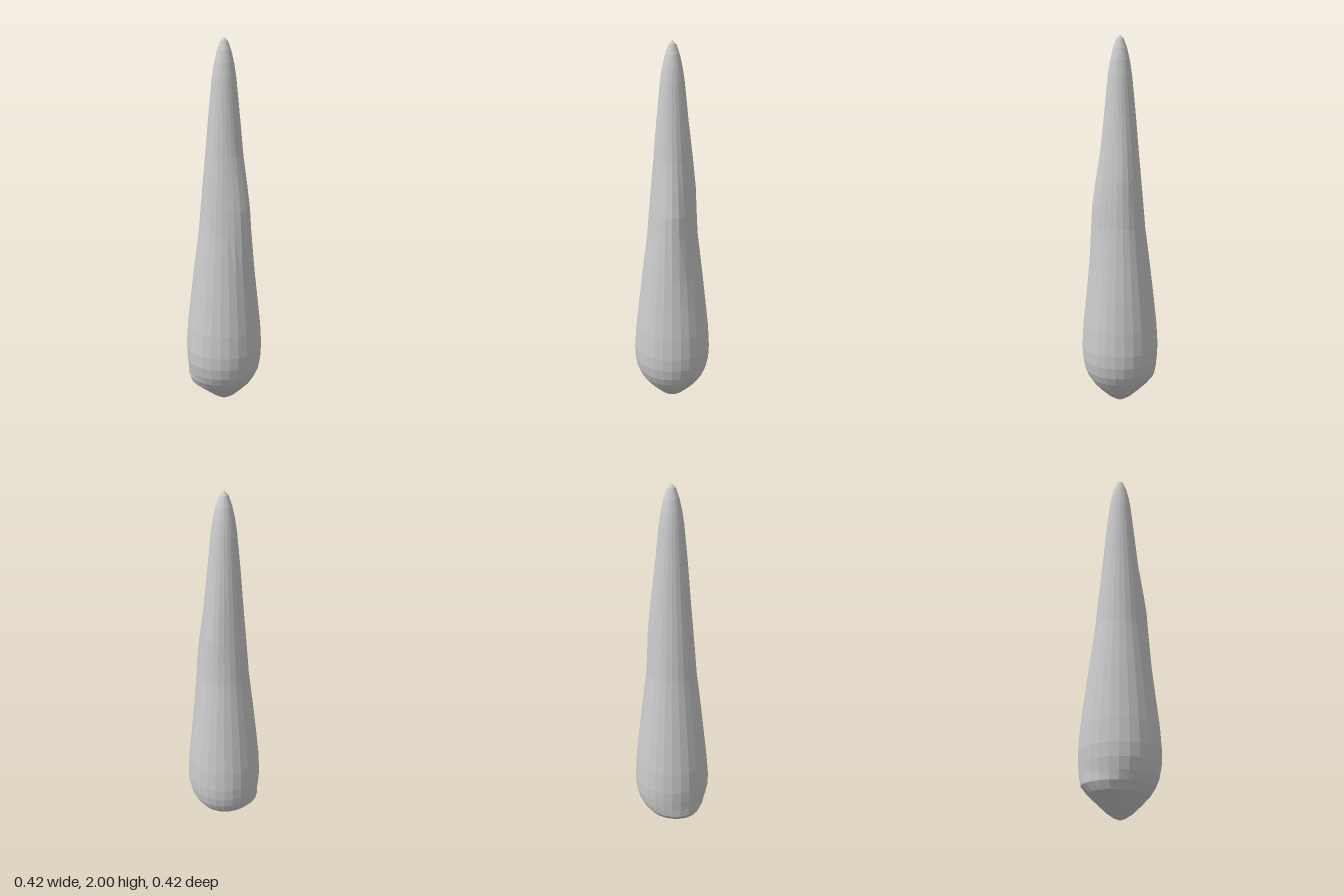
import * as THREE from 'three';

// Radius and height pairs, from the rounded base to the narrow tip
const PROFILE = [
  [0, 0], [0.03, 0.01], [0.065, 0.033], [0.11, 0.075], [0.148, 0.115], [0.175, 0.155],
  [0.195, 0.2], [0.207, 0.26], [0.21, 0.33], [0.203, 0.45], [0.185, 0.61], [0.166, 0.77],
  [0.136, 1.0], [0.126, 1.12], [0.114, 1.25], [0.1, 1.4], [0.083, 1.6], [0.063, 1.8],
  [0.052, 1.87], [0.038, 1.93], [0.02, 1.98], [0, 2],
];

// Uneven swellings: direction (x, z), centre height, spread, size, narrowness
const SWELLINGS = [
  { x: 0.707, z: 0.707, y: 1.1, spread: 0.26, size: 0.027, power: 6 },
  { x: 0.707, z: -0.707, y: 1.3, spread: 0.2, size: 0.012, power: 6 },
  { x: -1, z: 0, y: 0.12, spread: 0.05, size: 0.03, power: 4 },
  { x: -0.707, z: -0.707, y: 0.15, spread: 0.05, size: 0.02, power: 4 },
  { x: -0.8, z: 0.6, y: 0.25, spread: 0.15, size: 0.006, power: 10 },
];

export function createModel() {
  const group = new THREE.Group();
  const points = PROFILE.map(([r, y]) => new THREE.Vector2(r, y));
  const geometry = new THREE.LatheGeometry(points, 26);
  const pos = geometry.attributes.position;

  // Push the round body outward wherever a swelling reaches it
  for (let i = 0; i < pos.count; i++) {
    const x = pos.getX(i), y = pos.getY(i), z = pos.getZ(i);
    const r = Math.hypot(x, z);
    if (r < 0.001) continue;
    let grown = r;
    for (const s of SWELLINGS) {
      const facing = Math.max(0, (x * s.x + z * s.z) / r) ** s.power;
      grown += s.size * facing * Math.exp(-(((y - s.y) / s.spread) ** 2));
    }
    pos.setXYZ(i, (x * grown) / r, y, (z * grown) / r);
  }
  geometry.computeVertexNormals();

  const body = new THREE.Mesh(
    geometry,
    new THREE.MeshStandardMaterial({ color: 0xcccccc, flatShading: true })
  );
  body.name = 'taperedBody';
  group.add(body);
  return group;
}
